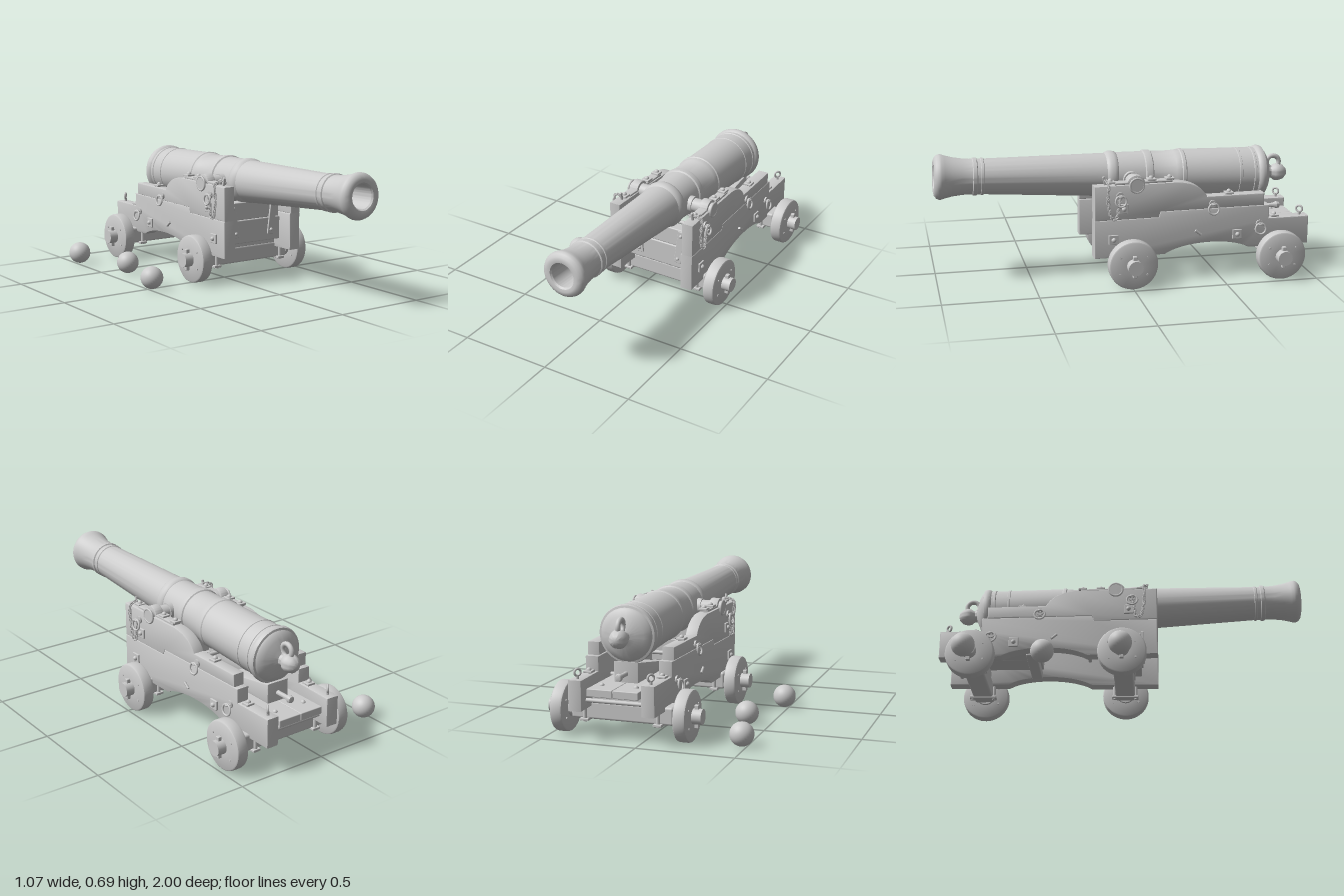
import * as THREE from 'three';
import { toCreasedNormals } from 'three/addons/utils/BufferGeometryUtils.js';
import { RoundedBoxGeometry } from 'three/addons/geometries/RoundedBoxGeometry.js';

const mat = new THREE.MeshStandardMaterial({ color: 0xcccccc });
const V = (x, y, z) => new THREE.Vector3(x, y, z);

function add(parent, name, geo, x = 0, y = 0, z = 0) {
  const m = new THREE.Mesh(geo, mat);
  m.name = name;
  m.position.set(x, y, z);
  parent.add(m);
  return m;
}
const box = (w, h, d, r = 0.006) => new RoundedBoxGeometry(w, h, d, 2, r);
const rodX = (r, len, seg = 24) => new THREE.CylinderGeometry(r, r, len, seg).rotateZ(Math.PI / 2);
const lathe = (pts, seg = 48) =>
  toCreasedNormals(new THREE.LatheGeometry(pts.map(p => new THREE.Vector2(p[0], p[1])), seg), 0.6);

// Plank cut from a side outline of (z, y), centred on its thickness along x
function plank(shape, thick) {
  const b = 0.005;
  const g = new THREE.ExtrudeGeometry(shape, {
    depth: thick - 2 * b, bevelEnabled: true, bevelSize: b, bevelOffset: -b,
    bevelThickness: b, bevelSegments: 2, curveSegments: 14,
  });
  return toCreasedNormals(g.translate(0, 0, b - thick / 2).rotateY(-Math.PI / 2), 0.5);
}

function buildBarrel(parent) {
  const g = new THREE.Group();
  g.name = 'barrel';
  g.position.y = 0.537;
  g.rotation.x = -0.036;
  parent.add(g);
  // Profile of (radius, z) from the breech to the muzzle and back down the bore
  const profile = [
    [0, -0.85], [0.03, -0.85], [0.034, -0.835], [0.06, -0.825], [0.1, -0.812], [0.128, -0.795],
    [0.135, -0.785], [0.146, -0.782], [0.15, -0.77], [0.15, -0.758], [0.145, -0.748], [0.139, -0.742],
    [0.139, -0.73], [0.142, -0.728], [0.142, -0.718], [0.138, -0.715],
    [0.137, -0.65], [0.14, -0.648], [0.14, -0.636], [0.137, -0.634],
    [0.133, -0.34], [0.137, -0.335], [0.137, -0.32], [0.132, -0.315], [0.129, -0.285], [0.126, -0.28],
    [0.124, -0.16], [0.13, -0.155], [0.132, -0.138], [0.13, -0.12], [0.123, -0.115],
    [0.119, 0.03], [0.124, 0.035], [0.127, 0.05], [0.127, 0.07], [0.122, 0.082], [0.116, 0.09],
    [0.094, 0.735], [0.098, 0.738], [0.098, 0.75], [0.094, 0.753], [0.094, 0.77], [0.1, 0.774],
    [0.1, 0.792], [0.094, 0.796], [0.093, 0.81], [0.096, 0.85], [0.103, 0.9], [0.113, 0.94],
    [0.119, 0.957], [0.119, 0.968], [0.113, 0.982], [0.1, 0.993], [0.085, 0.997], [0.07, 0.994],
    [0.063, 0.985], [0.063, 0.25], [0, 0.25],
  ];
  add(g, 'gunTube', lathe(profile, 64).rotateX(Math.PI / 2));
  // Knob and rope loop behind the breech
  add(g, 'breechKnob', lathe([[0, -0.055], [0.022, -0.05], [0.04, -0.032], [0.048, -0.005], [0.045, 0.015],
    [0.034, 0.03], [0.027, 0.045], [0.032, 0.07], [0.05, 0.085]], 32).rotateX(Math.PI / 2), 0, 0, -0.885);
  add(g, 'ropeLoop', new THREE.TorusGeometry(0.035, 0.013, 12, 28).rotateY(Math.PI / 2), 0, 0.057, -0.86);
  // Trunnions with shoulders against the tube
  add(g, 'trunnions', rodX(0.037, 0.52, 32), 0, 0, -0.035);
  add(g, 'trunnionShoulders', rodX(0.044, 0.28, 32), 0, 0, -0.035);
}

// Square iron plate with a domed bolt, facing +y before rotation
function boltPlate(parent, x, y, z, rotZ = 0, size = 0.046) {
  const g = new THREE.Group();
  g.name = 'boltPlate';
  g.position.set(x, y, z);
  g.rotation.z = rotZ;
  parent.add(g);
  add(g, 'plate', box(size, 0.012, size, 0.003));
  add(g, 'boltHead', new THREE.SphereGeometry(0.013, 12, 8), 0, 0.007, 0);
}

function ringBolt(parent, s, x, y, z) {
  add(parent, 'ringBoltPlate', rodX(0.02, 0.012, 16), s * x, y, z);
  add(parent, 'ringBoltEye', new THREE.TorusGeometry(0.011, 0.005, 6, 14).rotateX(Math.PI / 2), s * (x + 0.014), y, z);
  const ring = add(parent, 'ring', new THREE.TorusGeometry(0.029, 0.0055, 8, 24).rotateY(Math.PI / 2),
    s * (x + 0.022), y - 0.024, z);
  ring.rotation.z = s * 0.15;
}

// Chain of links turned alternately along a curve
function chain(parent, curve, count) {
  const g = new THREE.Group();
  g.name = 'chain';
  parent.add(g);
  const geo = new THREE.TorusGeometry(0.0095, 0.0032, 5, 10).scale(0.8, 1.35, 1);
  for (let i = 0; i < count; i++) {
    const t = i / (count - 1);
    const link = add(g, 'link', geo);
    link.position.copy(curve.getPointAt(t));
    link.quaternion.setFromUnitVectors(V(0, 1, 0), curve.getTangentAt(t));
    link.rotateY(i % 2 ? 0 : Math.PI / 2);
  }
}

function buildCheek(parent, s) {
  const g = new THREE.Group();
  g.name = s > 0 ? 'leftCheek' : 'rightCheek';
  g.position.x = s * 0.217;
  g.rotation.y = s * 0.027;
  parent.add(g);
  // Lower plank with the arch between the axles
  const low = new THREE.Shape();
  low.moveTo(0.19, 0.15);
  low.lineTo(0.19, 0.355).lineTo(-0.155, 0.355).lineTo(-0.165, 0.385).lineTo(-0.77, 0.385);
  low.lineTo(-0.77, 0.31).lineTo(-0.997, 0.31).lineTo(-0.997, 0.155).lineTo(-0.66, 0.155);
  low.bezierCurveTo(-0.56, 0.215, -0.3, 0.215, -0.19, 0.15);
  low.closePath();
  add(g, 'lowerPlank', plank(low, 0.07));
  // Upper plank stepping down towards the rear
  const up = new THREE.Shape();
  up.moveTo(0.19, 0.355);
  up.lineTo(0.19, 0.54).lineTo(-0.26, 0.54);
  up.quadraticCurveTo(-0.38, 0.53, -0.42, 0.452);
  up.lineTo(-0.74, 0.452).lineTo(-0.74, 0.385).lineTo(-0.165, 0.385).lineTo(-0.155, 0.355);
  up.closePath();
  add(g, 'upperPlank', plank(up, 0.064), s * 0.003);
  // Iron strap over the trunnion, bent over a hump
  const cap = new THREE.Shape();
  cap.moveTo(0.08, 0.54);
  cap.lineTo(0.08, 0.553).lineTo(0.012, 0.553);
  cap.absarc(-0.035, 0.537, 0.05, 0.33, Math.PI - 0.33, false);
  cap.lineTo(-0.23, 0.553).lineTo(-0.23, 0.54);
  cap.closePath();
  add(g, 'trunnionStrap', plank(cap, 0.05));
  add(g, 'trunnionEndRing', new THREE.TorusGeometry(0.037, 0.006, 8, 32).rotateY(Math.PI / 2), s * 0.04, 0.536, -0.035);
  // Bolts along the top edge
  for (const [y, z] of [[0.553, 0.1], [0.557, -0.12], [0.557, -0.22], [0.458, -0.55], [0.316, -0.81]]) boltPlate(g, 0, y, z);
  const key = add(g, 'strapKey', box(0.012, 0.05, 0.014, 0.003), 0, 0.56, 0.13);
  key.rotation.x = 0.25;
  // Bolts, rings and pin on the outer face
  for (const [y, z] of [[0.415, 0.035], [0.25, 0.09], [0.235, -0.59]]) boltPlate(g, s * 0.038, y, z, -s * Math.PI / 2, 0.052);
  for (const [y, z] of [[0.485, 0.055], [0.412, -0.45], [0.285, -0.715]]) ringBolt(g, s, 0.038, y, z);
  const pin = add(g, 'sidePin', new THREE.CylinderGeometry(0.007, 0.007, 0.04, 8), s * 0.045, 0.26, -0.37);
  pin.rotation.x = 0.9;
  // Eye bolt at the rear end
  add(g, 'rearEyeStem', new THREE.CylinderGeometry(0.008, 0.008, 0.03, 10), 0, 0.315, -0.955);
  add(g, 'rearEye', new THREE.TorusGeometry(0.017, 0.006, 8, 18).rotateY(0.9), 0, 0.342, -0.955);
  // Hanging chain of the strap key
  const x = s * 0.048;
  chain(g, new THREE.CatmullRomCurve3([V(s * 0.01, 0.565, 0.125), V(x, 0.55, 0.12), V(x, 0.45, 0.12),
    V(x, 0.37, 0.1), V(x, 0.365, 0.08), V(x, 0.42, 0.065), V(x, 0.475, 0.055)]), 26);
  // Straps holding the axles from below
  for (const z of [0, -0.81]) {
    add(g, 'axleStrap', box(0.045, 0.014, 0.15, 0.003), 0, 0.086, z);
    for (const d of [-0.06, 0.06]) {
      add(g, 'axleBolt', new THREE.CylinderGeometry(0.01, 0.01, 0.09, 10), 0, 0.12, z + d);
    }
  }
}

function buildAxle(parent, z) {
  const g = new THREE.Group();
  g.name = z < -0.5 ? 'rearAxle' : 'frontAxle';
  g.position.set(0, 0.132, z);
  parent.add(g);
  add(g, 'axleBed', box(0.54, 0.092, 0.11, 0.012));
  add(g, 'axleArms', rodX(0.039, 0.81, 28));
  const wheelGeo = lathe([[0.038, -0.033], [0.122, -0.033], [0.128, -0.029], [0.131, -0.02], [0.131, 0.02],
    [0.128, 0.029], [0.122, 0.033], [0.038, 0.033]], 56).rotateZ(Math.PI / 2);
  for (const s of [-1, 1]) {
    add(g, 'wheel', wheelGeo, s * 0.323);
    add(g, 'axleWasher', rodX(0.052, 0.016), s * 0.282);
    add(g, 'linchpin', box(0.022, 0.118, 0.022, 0.004), s * 0.374);
    // Bolt heads across the wheel faces
    for (const a of [0.6, 2.6, 3.75, 5.75]) {
      add(g, 'wheelBolt', rodX(0.006, 0.074, 8), s * 0.323, 0.085 * Math.sin(a), 0.085 * Math.cos(a));
    }
  }
}

function buildInterior(parent) {
  // Front transom of two planks with slanting iron straps
  const t = new THREE.Group();
  t.name = 'frontTransom';
  parent.add(t);
  add(t, 'lowerBoard', box(0.385, 0.13, 0.075), 0, 0.267, 0.06);
  add(t, 'upperBoard', box(0.37, 0.1, 0.065), 0, 0.381, 0.058);
  add(t, 'sill', box(0.36, 0.03, 0.06, 0.004), 0, 0.19, 0.03);
  for (const s of [-1, 1]) {
    const strap = new THREE.Group();
    strap.name = 'transomStrap';
    strap.position.set(s * 0.13, 0.333, 0.1);
    strap.rotation.z = -s * 0.13;
    t.add(strap);
    add(strap, 'strapBar', box(0.042, 0.195, 0.012, 0.003));
    for (const y of [-0.072, 0.072]) add(strap, 'strapBolt', new THREE.SphereGeometry(0.01, 12, 8), 0, y, 0.006);
  }
  // Rear bed of two boards on a cross beam
  for (const s of [-1, 1]) {
    add(parent, 'bedBoard', box(0.134, 0.04, 0.52, 0.004), s * 0.0675, 0.25, -0.72);
    add(parent, 'bedBolt', new THREE.SphereGeometry(0.013, 12, 8), s * 0.09, 0.27, -0.89);
  }
  add(parent, 'rearBeam', box(0.33, 0.055, 0.09), 0, 0.205, -0.81);
  add(parent, 'bedRest', box(0.34, 0.05, 0.06), 0, 0.21, -0.5);
  // Elevating wedge with its handle
  const wedge = new THREE.Shape();
  wedge.moveTo(-0.8, 0.27);
  wedge.lineTo(-0.48, 0.27).lineTo(-0.48, 0.32).lineTo(-0.8, 0.375);
  wedge.closePath();
  add(parent, 'elevatingWedge', plank(wedge, 0.13));
  add(parent, 'wedgeHandle', lathe([[0, -0.06], [0.016, -0.056], [0.02, -0.04], [0.012, -0.02], [0.012, 0.06]], 16)
    .rotateX(Math.PI / 2), 0, 0.315, -0.85);
  // Cross bolts tying the cheeks together
  for (const [y, z, len] of [[0.26, -0.6, 0.46], [0.3, -0.2, 0.48], [0.2, -0.93, 0.45]]) {
    add(parent, 'crossBolt', rodX(0.011, len, 12), 0, y, z);
  }
}

export function createModel() {
  const root = new THREE.Group();
  root.name = 'cannon';
  const gun = new THREE.Group();
  gun.name = 'gunAndCarriage';
  gun.position.x = 0.125;
  root.add(gun);
  buildBarrel(gun);
  for (const s of [-1, 1]) buildCheek(gun, s);
  for (const z of [0, -0.81]) buildAxle(gun, z);
  buildInterior(gun);
  // Loose shot lying beside the carriage
  for (const [x, z] of [[-0.474, -0.8], [-0.382, -0.405], [-0.474, 0]]) {
    add(root, 'cannonball', new THREE.SphereGeometry(0.061, 32, 20), x, 0.062, z);
  }
  return root;
}
